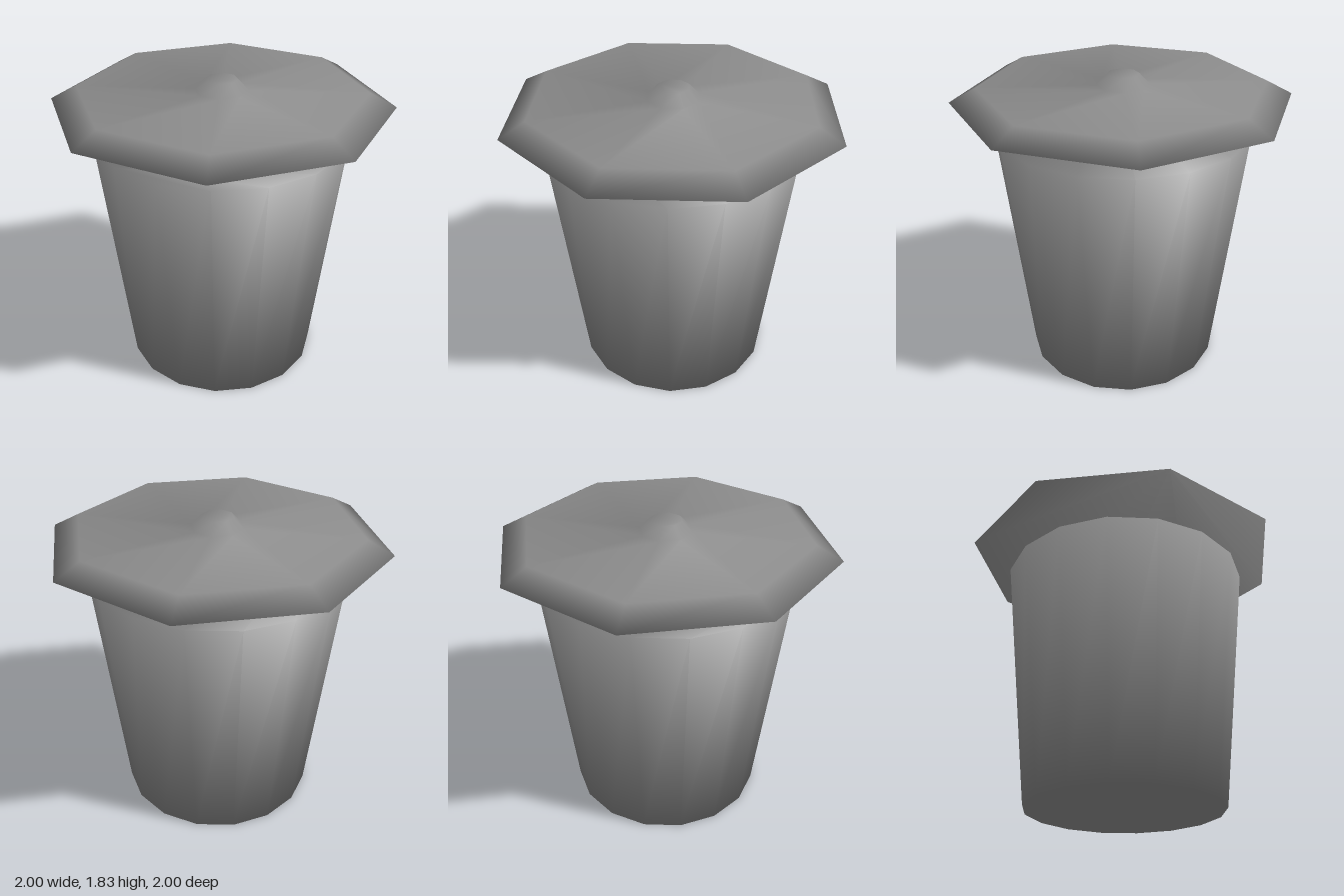
import * as THREE from 'three';

const material = new THREE.MeshStandardMaterial({ color: 0x8c8c8c });

// Closed turned part from [radius, height] rings, listed bottom to top.
// Both ends are flat polygons sharing the smooth normals of their outer ring.
function turned(name, rings, sides) {
  const path = [[0, rings[0][1]], ...rings, [0, rings[rings.length - 1][1]]];
  // Unit outward normal of each profile segment
  const slopes = path.slice(1).map(([r, y], i) =>
    new THREE.Vector2(y - path[i][1], path[i][0] - r).normalize());

  const positions = [], normals = [], index = [];
  rings.forEach(([r, y], j) => {
    const n = slopes[j].clone().add(slopes[j + 1]).normalize();
    for (let i = 0; i < sides; i++) {
      const a = (i / sides) * Math.PI * 2, s = Math.sin(a), c = Math.cos(a);
      positions.push(r * s, y, r * c);
      normals.push(n.x * s, n.y, n.x * c);
    }
  });

  // Side bands
  for (let j = 0; j < rings.length - 1; j++) {
    for (let i = 0; i < sides; i++) {
      const a = j * sides + i, b = j * sides + (i + 1) % sides;
      index.push(a, b, b + sides, a, b + sides, a + sides);
    }
  }
  // Flat ends
  const top = (rings.length - 1) * sides;
  for (let i = 1; i < sides - 1; i++) {
    index.push(0, i + 1, i, top, top + i, top + i + 1);
  }

  const geometry = new THREE.BufferGeometry();
  geometry.setAttribute('position', new THREE.Float32BufferAttribute(positions, 3));
  geometry.setAttribute('normal', new THREE.Float32BufferAttribute(normals, 3));
  geometry.setIndex(index);
  const mesh = new THREE.Mesh(geometry, material);
  mesh.name = name;
  return mesh;
}

export function createModel() {
  const group = new THREE.Group();
  group.name = 'binWithLid';

  // Tapered bin body
  group.add(turned('bin', [[0.595, 0], [0.758, 1.52]], 16));

  // Octagonal lid floating above the bin: flat underside, bevelled edge, small knob
  group.add(turned('lid', [
    [1, 1.685], [0.845, 1.767], [0.155, 1.767], [0.095, 1.832],
  ], 8));

  return group;
}
